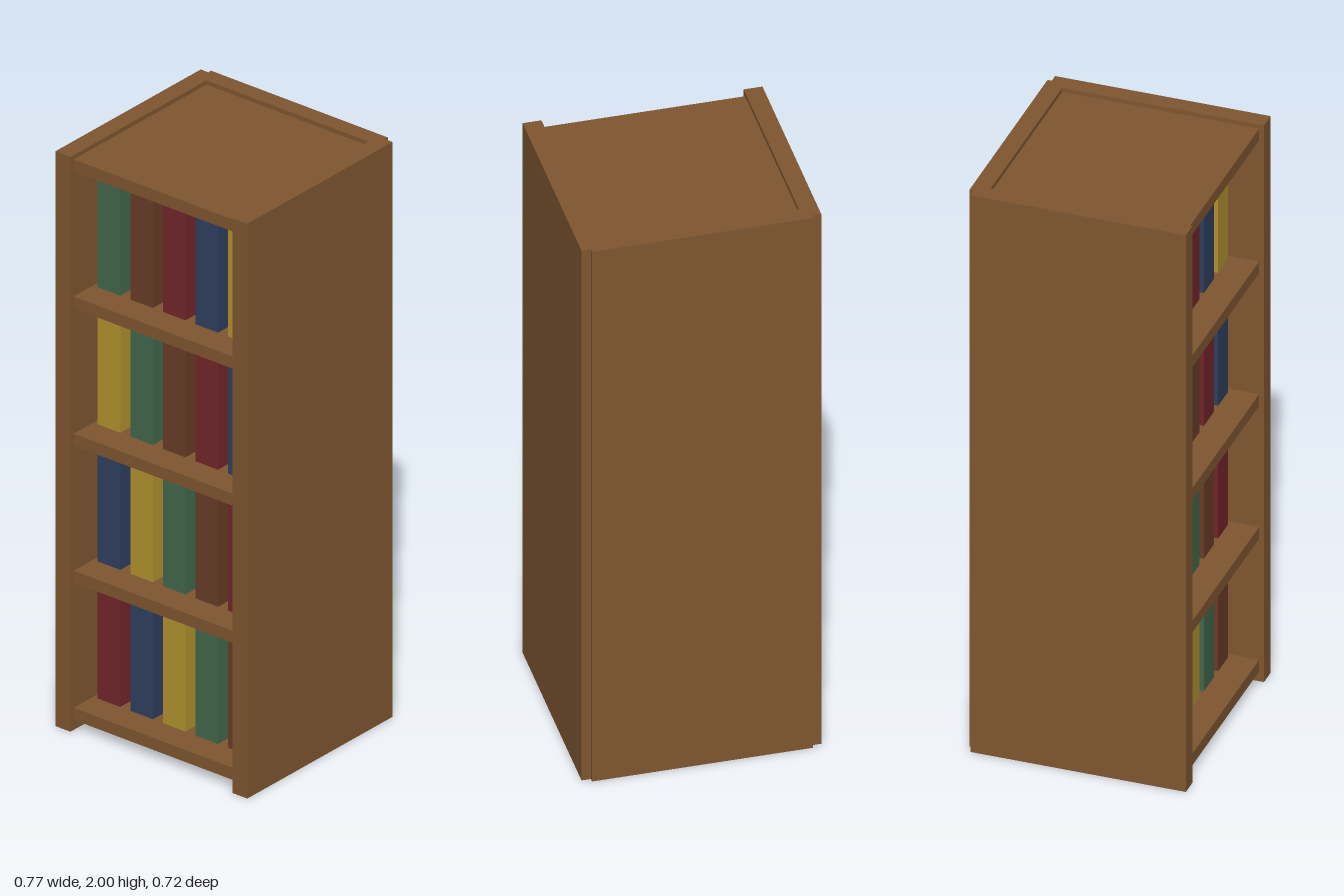
import * as THREE from 'three';

const material = (color) => new THREE.MeshStandardMaterial({ color });

export function createModel() {
  const group = new THREE.Group();
  const wood = material(0x7f5630);

  // Box given by its minimum and maximum corners
  const box = (name, mat, [x0, y0, z0], [x1, y1, z1]) => {
    const mesh = new THREE.Mesh(new THREE.BoxGeometry(x1 - x0, y1 - y0, z1 - z0), mat);
    mesh.position.set((x0 + x1) / 2, (y0 + y1) / 2, (z0 + z1) / 2);
    mesh.name = name;
    group.add(mesh);
  };

  // Carcass: two side panels and a narrower back panel set slightly proud
  box('leftSide', wood, [0.323, 0, -0.347], [0.383, 2, 0.361]);
  box('rightSide', wood, [-0.383, 0, -0.347], [-0.323, 2, 0.361]);
  box('backPanel', wood, [-0.353, 0, -0.361], [0.353, 2, -0.302]);

  // Five evenly spaced boards; the lowest is the base, the highest the top
  const pitch = 0.477, firstTop = 0.077, thickness = 0.042;
  for (let i = 0; i < 5; i++) {
    const top = firstTop + i * pitch;
    const name = i === 0 ? 'baseBoard' : i === 4 ? 'topBoard' : `shelf${i}`;
    box(name, wood, [-0.323, top - thickness, -0.302], [0.323, top, 0.345]);
  }

  // Books: five per shelf, the colour order shifting by one on each row
  const covers = [0x722529, 0x2f3f5f, 0xb0922e, 0x41674b, 0x683c26].map(material);
  for (let row = 0; row < 4; row++) {
    const y = firstTop + row * pitch;
    for (let i = 0; i < 5; i++) {
      const x = (i - 2) * 0.13;
      box(`book${row + 1}_${i + 1}`, covers[(row + i) % 5],
        [x - 0.045, y, -0.25], [x + 0.045, y + 0.371, 0.25]);
    }
  }
  return group;
}
